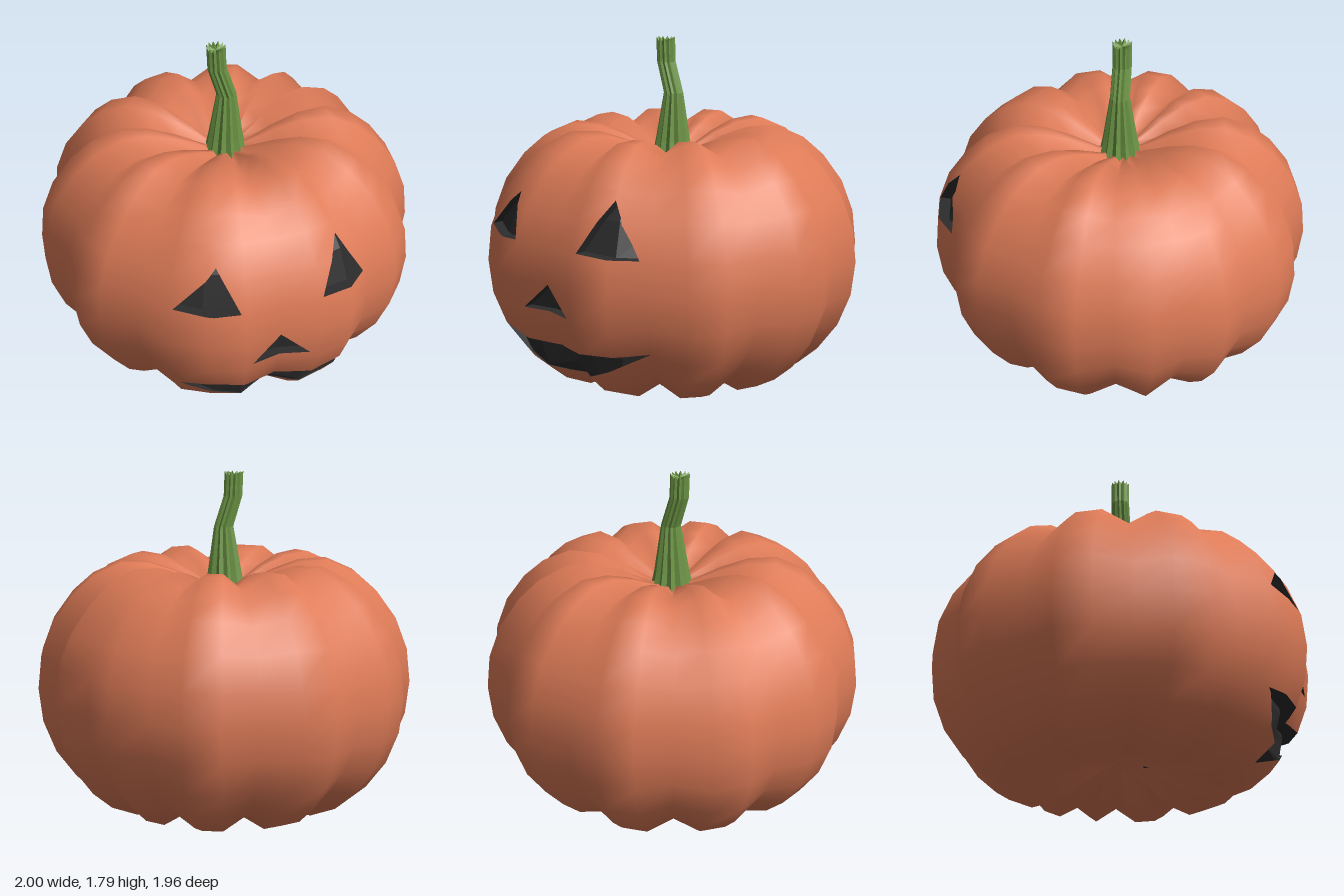
import * as THREE from 'three';

const orange = new THREE.MeshStandardMaterial({ name: 'pumpkin orange', color: 0xde7b57 });
const dark = new THREE.MeshStandardMaterial({ name: 'carved dark', color: 0x2c2c2c });
const green = new THREE.MeshStandardMaterial({ name: 'stem green', color: 0x6c9545 });

const SIDES = 32;
const HEIGHT = 1.32;
const GROOVES = [0, 3, 5, 7, 10, 13, 16, 20, 23, 26, 29];

// Upper half of the body: [crest radius, crest height, groove radius, groove height]
const UPPER = [
  [0, 1.16, 0, 1.16], [0.12, 1.2, 0.12, 1.165], [0.26, 1.265, 0.26, 1.2], [0.4, 1.312, 0.4, 1.245],
  [0.55, 1.32, 0.53, 1.25], [0.7, 1.252, 0.66, 1.19], [0.81, 1.155, 0.755, 1.11],
  [0.915, 1.01, 0.855, 0.985], [0.98, 0.84, 0.92, 0.83], [1, 0.66, 0.937, 0.66],
];
const LOWER = UPPER.slice(0, -1).reverse().map(([r, y, gr, gy]) => [r, HEIGHT - y, gr, HEIGHT - gy]);
const PROFILE = [...UPPER, ...LOWER];

// Carved openings: convex outlines, counter-clockwise from the front, with a depth rule
const mouthDepth = y => THREE.MathUtils.clamp((y - 0.18) * 0.55, 0.006, 0.085);
const HOLES = [
  { outline: [[-0.52, 0.86], [-0.34, 0.84], [-0.21, 0.855], [-0.3, 1.065]], depth: () => 0.06 },
  { outline: [[0.21, 0.86], [0.48, 0.84], [0.32, 1.11]], depth: () => 0.06 },
  { outline: [[-0.15, 0.52], [0.15, 0.52], [0, 0.66]], depth: () => 0.05 },
  { outline: [[0, 0.115], [0, 0.325], [-0.33, 0.345], [-0.48, 0.33], [-0.3, 0.205]], depth: mouthDepth },
  { outline: [[0, 0.115], [0.28, 0.235], [0.48, 0.35], [0, 0.325]], depth: mouthDepth },
];

// Lobed body as triangles of { p, n } corners with smooth normals
function bodyTriangles() {
  const positions = [], index = [], last = PROFILE.length - 1;
  PROFILE.forEach(([r, y, gr, gy], i) => {
    for (let k = 0; k < SIDES; k++) {
      const a = k / SIDES * Math.PI * 2, groove = GROOVES.includes(k);
      const radius = groove ? gr : r;
      positions.push(Math.sin(a) * radius, groove ? gy : y, -Math.cos(a) * radius);
    }
  });
  const id = (i, k) => i * SIDES + (i === 0 || i === last ? 0 : k % SIDES);
  for (let i = 0; i < last; i++) {
    for (let k = 0; k < SIDES; k++) {
      const tr = id(i, k), tl = id(i, k + 1), br = id(i + 1, k), bl = id(i + 1, k + 1);
      if (bl !== br) index.push(bl, br, tr);
      if (tl !== tr) index.push(bl, tr, tl);
    }
  }
  const g = new THREE.BufferGeometry();
  g.setAttribute('position', new THREE.Float32BufferAttribute(positions, 3));
  g.setIndex(index);
  g.computeVertexNormals();
  const corner = v => ({
    p: new THREE.Vector3().fromBufferAttribute(g.attributes.position, v),
    n: new THREE.Vector3().fromBufferAttribute(g.attributes.normal, v),
  });
  const triangles = [];
  for (let t = 0; t < index.length; t += 3) triangles.push(index.slice(t, t + 3).map(corner));
  return triangles;
}

// Signed distance of a point from an outline edge; positive is inside
const side = (p, [ax, ay], [bx, by]) =>
  ((bx - ax) * (p.y - ay) - (by - ay) * (p.x - ax)) / Math.hypot(bx - ax, by - ay);

// Split a polygon along an outline edge
function split(poly, a, b) {
  const inside = [], outside = [];
  poly.forEach((v, i) => {
    const w = poly[(i + 1) % poly.length];
    const d = side(v.p, a, b), e = side(w.p, a, b);
    if (d >= -1e-7) inside.push(v);
    if (d <= 1e-7) outside.push(v);
    if ((d > 1e-7 && e < -1e-7) || (d < -1e-7 && e > 1e-7)) {
      const t = d / (d - e);
      const m = { p: v.p.clone().lerp(w.p, t), n: v.n.clone().lerp(w.n, t).normalize() };
      inside.push(m);
      outside.push(m);
    }
  });
  return [inside, outside];
}

// Cut one opening out of the skin; returns the remaining skin, adds floor and walls to the recess
function carve(skin, { outline, depth }, recess) {
  const edges = outline.map((a, i) => [a, outline[(i + 1) % outline.length]]);
  const xs = outline.map(c => c[0]), ys = outline.map(c => c[1]);
  const kept = [];
  for (const poly of skin) {
    const px = poly.map(v => v.p.x), py = poly.map(v => v.p.y);
    const away = poly.some(v => v.p.z < 0.1) ||
      Math.max(...px) < Math.min(...xs) || Math.min(...px) > Math.max(...xs) ||
      Math.max(...py) < Math.min(...ys) || Math.min(...py) > Math.max(...ys);
    if (away) { kept.push(poly); continue; }
    let rest = poly;
    for (const [a, b] of edges) {
      const [inside, outside] = split(rest, a, b);
      if (outside.length > 2) kept.push(outside);
      rest = inside;
      if (rest.length < 3) break;
    }
    if (rest.length < 3) continue;
    const floor = rest.map(({ p }) => new THREE.Vector3(p.x, p.y, p.z - depth(p.y)));
    recess.push(floor);
    rest.forEach((v, i) => {
      const j = (i + 1) % rest.length, w = rest[j];
      const onEdge = edges.some(([a, b]) => !(a[0] === 0 && b[0] === 0) &&
        Math.abs(side(v.p, a, b)) < 1e-5 && Math.abs(side(w.p, a, b)) < 1e-5);
      if (onEdge) recess.push([v.p, w.p, floor[j], floor[i]]);
    });
  }
  return kept;
}

// Fan polygons into a geometry; normals are optional
function fan(polys, point, normal) {
  const pos = [], nor = [];
  for (const poly of polys) {
    for (let i = 1; i < poly.length - 1; i++) {
      for (const v of [poly[0], poly[i], poly[i + 1]]) {
        pos.push(...point(v).toArray());
        if (normal) nor.push(...normal(v).toArray());
      }
    }
  }
  const g = new THREE.BufferGeometry();
  g.setAttribute('position', new THREE.Float32BufferAttribute(pos, 3));
  if (normal) g.setAttribute('normal', new THREE.Float32BufferAttribute(nor, 3));
  else g.computeVertexNormals();
  return g;
}

// Ribbed, kinked stem with a jagged top: sections are [centre x, height, radius]
function stemGeometry() {
  const sections = [[0, 1.14, 0.115], [0, 1.25, 0.092], [0.005, 1.5, 0.052], [-0.045, 1.66, 0.05], [-0.05, 1.78, 0.05]];
  const ribs = 24;
  const rings = sections.map(([cx, y, r], s) => Array.from({ length: ribs }, (_, k) => {
    const a = k / ribs * Math.PI * 2, rr = r * (k % 2 ? 0.84 : 1);
    const jag = s === sections.length - 1 ? (k % 2 ? -0.012 : 0.008) : 0;
    return new THREE.Vector3(cx + Math.sin(a) * rr, y + jag, Math.cos(a) * rr);
  }));
  const polys = [], top = rings[rings.length - 1], tip = new THREE.Vector3(-0.05, 1.765, 0);
  for (let k = 0; k < ribs; k++) {
    const j = (k + 1) % ribs;
    for (let s = 0; s < rings.length - 1; s++) {
      polys.push([rings[s][k], rings[s][j], rings[s + 1][j], rings[s + 1][k]]);
    }
    polys.push([top[k], top[j], tip]);
  }
  return fan(polys, v => v);
}

export function createModel() {
  const group = new THREE.Group();
  group.name = 'carvedPumpkin';
  const add = (name, geometry, material) => {
    const mesh = new THREE.Mesh(geometry, material);
    mesh.name = name;
    group.add(mesh);
  };

  let skin = bodyTriangles();
  const recess = [];
  for (const hole of HOLES) {
    // Outlines are kept counter-clockwise
    const area = hole.outline.reduce((s, [x, y], i, o) => {
      const [u, v] = o[(i + 1) % o.length];
      return s + x * v - u * y;
    }, 0);
    const outline = area < 0 ? [...hole.outline].reverse() : hole.outline;
    skin = carve(skin, { ...hole, outline }, recess);
  }
  add('body', fan(skin, v => v.p, v => v.n), orange);
  add('carvedFace', fan(recess, v => v), dark);
  add('stem', stemGeometry(), green);
  return group;
}
